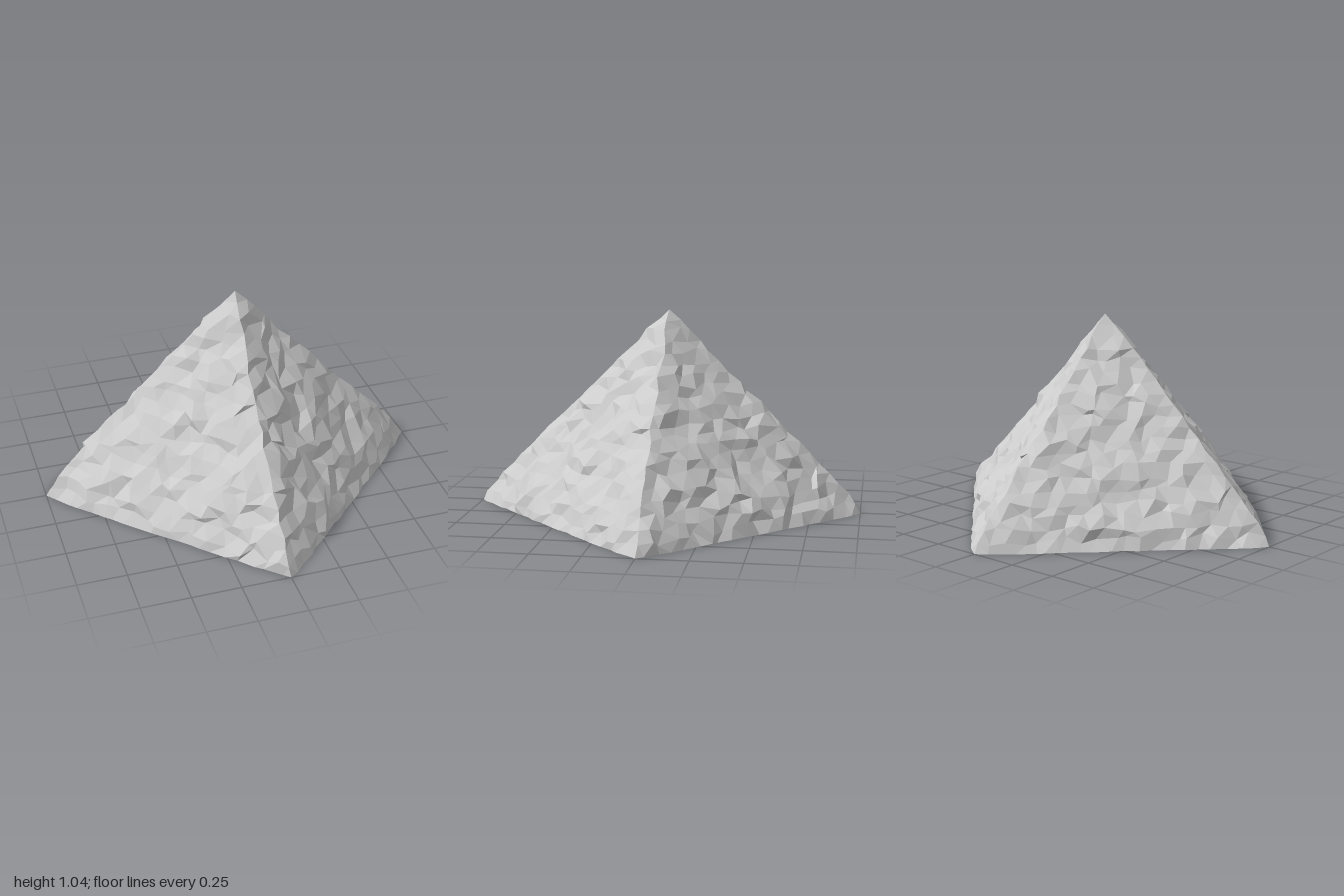
import * as THREE from 'three';

const ROWS = 20;
const APEX = new THREE.Vector3(0.03, 1.04, -0.01);
// Ridge outline: [height, distance from the axis]
const PROFILE = [[0, 1], [0.11, 0.93], [0.32, 0.725], [0.58, 0.465], [0.83, 0.205], [0.96, 0.095], [1.04, 0]];

// Repeatable noise in -1..1 from three whole numbers
function noise(a, b, c) {
  const s = Math.sin(a * 127.1 + b * 311.7 + c * 74.7) * 43758.5453;
  return (s - Math.floor(s)) * 2 - 1;
}

function radiusAt(y) {
  for (let i = 1; i < PROFILE.length; i++) {
    const [y0, r0] = PROFILE[i - 1], [y1, r1] = PROFILE[i];
    if (y <= y1) return r0 + (r1 - r0) * (y - y0) / (y1 - y0);
  }
  return 0;
}

// Vertex j of a row on one side; the last vertex of a side is the first of the next
function rockPoint(side, row, j) {
  const count = ROWS - row;
  if (count === 0) return APEX.clone();
  if (j === count) { side = (side + 1) % 4; j = 0; }
  const id = side * 100 + j;
  const ridge = j === 0, base = row === 0;

  // Uneven rows and columns; ridges and the ground line stay tidy
  const y = base ? 0 : (row + noise(id, row, 1) * (ridge ? 0.15 : 0.36)) / ROWS * APEX.y;
  const t = ridge ? 0 : (j + noise(id, row, 2) * 0.36) / count;
  const r = radiusAt(y);

  // Slight belly between the ridges plus rough stone relief
  const belly = 1 + 0.02 * Math.min(1, Math.min(t, 1 - t) * 14);
  const rough = base ? (ridge ? 0 : 0.007) : (ridge ? 0.012 : 0.021);
  const lump = base || ridge ? 0 : 0.008 * Math.sin(t * 11 + side * 2) * Math.sin(y * 13 + side);
  const push = noise(id, row, 3) * rough + lump;
  const x = (1 - t) * r * belly + push * (ridge ? 1 : 0.7);
  const z = t * r * belly + (ridge ? noise(id, row, 4) * rough : push * 0.7);

  // Turn into place and lean towards the off-centre peak
  const a = side * Math.PI / 2, c = Math.cos(a), s = Math.sin(a);
  const lean = Math.pow(y / APEX.y, 3);
  return new THREE.Vector3(x * c - z * s + APEX.x * lean, y, x * s + z * c + APEX.z * lean);
}

// One triangular rock face, narrowing by one facet per row
function faceGeometry(side) {
  const positions = [];
  const tri = (...pts) => pts.forEach((p) => positions.push(p.x, p.y, p.z));
  for (let row = 0; row < ROWS; row++) {
    for (let j = 0; j < ROWS - row; j++) {
      const a = rockPoint(side, row, j), b = rockPoint(side, row, j + 1);
      const c = rockPoint(side, row + 1, j);
      tri(a, c, b);
      if (j < ROWS - row - 1) tri(b, c, rockPoint(side, row + 1, j + 1));
    }
  }
  const geometry = new THREE.BufferGeometry();
  geometry.setAttribute('position', new THREE.Float32BufferAttribute(positions, 3));
  geometry.computeVertexNormals();
  return geometry;
}

export function createModel() {
  const group = new THREE.Group();
  group.name = 'rockyPyramid';
  const stone = new THREE.MeshStandardMaterial({ color: 0xcccccc, flatShading: true, side: THREE.DoubleSide });
  // Four rock faces, open underneath
  ['frontLeftFace', 'frontRightFace', 'backRightFace', 'backLeftFace'].forEach((name, side) => {
    const face = new THREE.Mesh(faceGeometry(side), stone);
    face.name = name;
    group.add(face);
  });
  return group;
}
